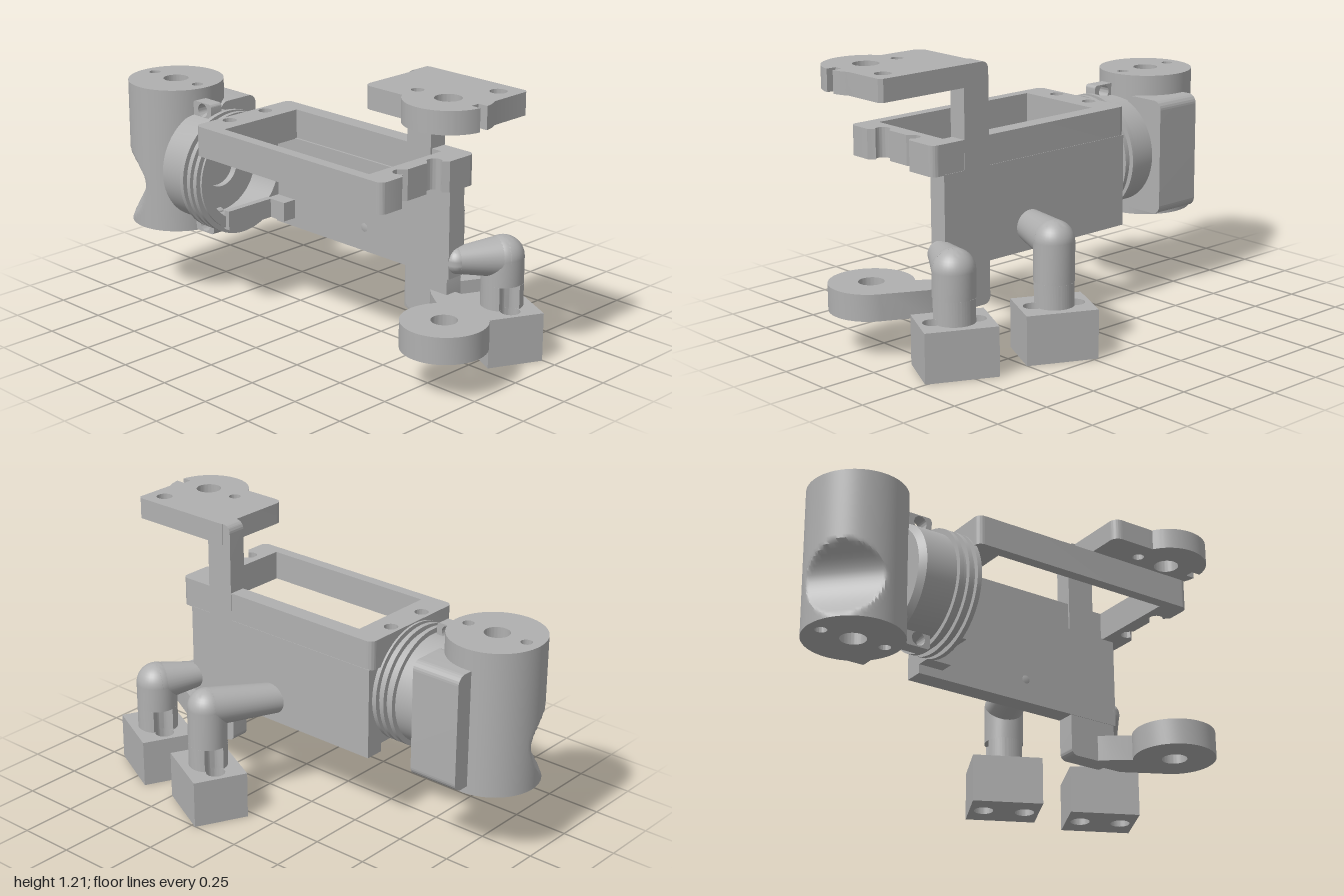
import * as THREE from 'three';
import { toCreasedNormals } from 'three/addons/utils/BufferGeometryUtils.js';

const grey = new THREE.MeshStandardMaterial({ color: 0xb0b0b0 });
grey.name = 'plain grey';

export function createModel() {
  const model = new THREE.Group();
  model.name = 'bracketAssembly';

  const add = (name, geo, parent = model) => {
    const mesh = new THREE.Mesh(toCreasedNormals(geo, 0.6), grey);
    mesh.name = name;
    parent.add(mesh);
    return mesh;
  };
  const hole = (shape, x, y, r) => shape.holes.push(new THREE.Path().absarc(x, y, r, 0, Math.PI * 2, true));
  const extrude = (shape, depth, steps = 1, curveSegments = 24) =>
    new THREE.ExtrudeGeometry(shape, { depth, steps, curveSegments, bevelEnabled: false });
  // Flat plate: shape is drawn in (x, -z) and raised from y0 to y1
  const plate = (shape, y0, y1, steps, segs) =>
    extrude(shape, y1 - y0, steps, segs).rotateX(-Math.PI / 2).translate(0, y0, 0);
  const roundRect = (x0, y0, x1, y1, r) => new THREE.Shape()
    .absarc(x1 - r, y1 - r, r, 0, Math.PI / 2)
    .absarc(x0 + r, y1 - r, r, Math.PI / 2, Math.PI)
    .absarc(x0 + r, y0 + r, r, Math.PI, Math.PI * 1.5)
    .absarc(x1 - r, y0 + r, r, Math.PI * 1.5, Math.PI * 2);
  const box = (x0, x1, y0, y1, z0, z1) => new THREE.BoxGeometry(x1 - x0, y1 - y0, z1 - z0)
    .translate((x0 + x1) / 2, (y0 + y1) / 2, (z0 + z1) / 2);

  // Upright pivot barrel, with a saddle-shaped cut low on its outer front side
  const cx = -0.79, cz = 0.235;
  const barrel = new THREE.Shape().absarc(cx, -cz, 0.21, 0, Math.PI * 2);
  hole(barrel, cx, -cz, 0.055);
  for (const dx of [-0.145, 0.145]) hole(barrel, cx + dx, -cz, 0.025);
  const barrelGeo = plate(barrel, 0.325, 0.97, 40, 48);
  const p = barrelGeo.attributes.position;
  for (let i = 0; i < p.count; i++) {
    const y = p.getY(i);
    if (y < 0.33 || y > 0.66) continue;
    const t = y > 0.53 ? (0.66 - y) / 0.13 : (y - 0.33) / 0.2;
    const limit = 0.21 - 0.078 * Math.sin(t * Math.PI / 2);
    const s = (cx - p.getX(i) + p.getZ(i) - cz) * Math.SQRT1_2;
    const cut = Math.max(0, s - limit) * Math.SQRT1_2;
    p.setX(i, p.getX(i) + cut);
    p.setZ(i, p.getZ(i) - cut);
  }
  add('pivotBarrel', barrelGeo);

  // Rounded backing block behind the barrel
  add('barrelBacking', extrude(roundRect(-0.15, 0.36, 0.055, 0.88, 0.04), 0.23)
    .rotateY(Math.PI / 2).translate(-0.82, 0, 0));

  // Hollow collar with three ribs, turned about the x axis
  const profile = [[0, -0.63], [0.22, -0.63], [0.243, -0.605], [0.243, -0.465]];
  for (const x of [-0.465, -0.42, -0.38]) {
    profile.push([0.243, x], [0.265, x], [0.265, x + 0.02], [0.243, x + 0.02]);
  }
  profile.push([0.243, -0.35], [0.2, -0.35], [0.2, -0.5], [0.09, -0.5], [0.09, -0.53], [0, -0.53]);
  add('ribbedCollar', new THREE.LatheGeometry(profile.map(q => new THREE.Vector2(...q)), 64)
    .rotateZ(-Math.PI / 2).translate(0, 0.625, 0.235));

  // Screw tabs above and below the collar
  for (const [y0, y1, hy] of [[0.33, 0.44, 0.366], [0.81, 0.922, 0.888]]) {
    const tab = roundRect(-0.595, y0, -0.478, y1, 0.015);
    hole(tab, -0.533, hy, 0.03);
    add('collarTab', extrude(tab, 0.06).translate(0, 0, 0.245));
  }

  // Open rectangular frame with a recessed right end
  const frame = new THREE.Shape()
    .moveTo(-0.34, -0.49).lineTo(0.685, -0.49)
    .absarc(0.685, -0.46, 0.03, -Math.PI / 2, 0)
    .lineTo(0.715, -0.375).lineTo(0.70, -0.36)
    .absarc(0.665, -0.335, 0.03, -0.5, -Math.PI, true)
    .lineTo(0.635, -0.32).lineTo(0.665, -0.29).lineTo(0.665, -0.18).lineTo(0.635, -0.15)
    .absarc(0.665, -0.135, 0.03, Math.PI, 0.5, true)
    .lineTo(0.715, -0.1).lineTo(0.715, -0.01)
    .absarc(0.685, 0.02, 0.03, 0, Math.PI / 2)
    .lineTo(-0.34, 0.05)
    .absarc(-0.34, 0.02, 0.03, Math.PI / 2, Math.PI)
    .lineTo(-0.37, -0.46)
    .absarc(-0.34, -0.46, 0.03, Math.PI, Math.PI * 1.5);
  frame.holes.push(new THREE.Path([[-0.24, -0.025], [0.6, -0.025], [0.6, -0.44], [-0.24, -0.44]]
    .map(q => new THREE.Vector2(...q))));
  for (const z of [0.13, 0.335]) hole(frame, -0.325, -z, 0.03);
  add('frame', plate(frame, 0.765, 0.895));

  // Back wall, inner ledge and posts
  add('backWall', box(-0.36, 0.66, 0.36, 0.768, -0.052, 0.035));
  add('innerLedge', box(-0.36, -0.245, 0.4, 0.485, 0.035, 0.1));
  add('innerFoot', box(-0.36, -0.33, 0.4, 0.485, 0.1, 0.345));
  add('upperPost', extrude(roundRect(0.42, 0.74, 0.55, 1.205, 0.035), 0.085).translate(0, 0, -0.052));
  add('lowerPost', extrude(roundRect(0.42, 0.175, 0.65, 0.4, 0.03), 0.085).translate(0, 0, -0.052));

  // Upper bearing plate: a lobe with a notch, blended into a square corner
  const mx = 0.82, mz = 0.235, full = Math.PI * 2;
  const upper = new THREE.Shape()
    .moveTo(0.46, 0.055).lineTo(0.46, -0.29)
    .absarc(0.5, -0.29, 0.04, Math.PI, Math.PI * 1.5)
    .lineTo(0.67, -0.33)
    .absarc(mx, -mz, 0.18, 3.707, full - 0.11)
    .lineTo(0.955, -mz - 0.02).lineTo(0.955, -mz + 0.02)
    .absarc(mx, -mz, 0.18, 0.11, 0.526)
    .lineTo(0.975, 0.04).lineTo(0.96, 0.055);
  hole(upper, mx, -mz, 0.055);
  hole(upper, 0.66, -mz, 0.026);
  hole(upper, 0.895, -0.03, 0.035);
  add('upperBearingPlate', plate(upper, 1.11, 1.205));

  // Lower bearing ring on a slanted arm
  const lower = new THREE.Shape()
    .moveTo(0.56, 0.02).lineTo(0.56, -0.035).lineTo(0.6, -0.07)
    .lineTo(0.68, -0.125)
    .absarc(mx, -mz, 0.18, 2.47, full + 1.2)
    .lineTo(0.72, 0.02);
  hole(lower, mx, -mz, 0.055);
  add('lowerBearingRing', plate(lower, 0.175, 0.29));

  // Tapered round bar between two points
  const bar = (name, a, b, ra, rb, parent) => {
    const dir = b.clone().sub(a), len = dir.length();
    const mesh = add(name, new THREE.CylinderGeometry(rb, ra, len, 32), parent);
    mesh.position.copy(a).addScaledVector(dir, 0.5);
    mesh.quaternion.setFromUnitVectors(new THREE.Vector3(0, 1, 0), dir.normalize());
  };
  const ball = (name, at, r, parent) =>
    add(name, new THREE.SphereGeometry(r, 32, 20), parent).position.copy(at);

  // Bent legs, each standing on a turned foot block with two screw holes
  const leg = (start, r0, elbow, r) => {
    const g = new THREE.Group();
    g.name = 'bentLeg';
    model.add(g);
    bar('legArm', start, elbow, r0, r, g);
    ball('legArmEnd', start, r0, g);
    ball('legElbow', elbow, r, g);
    bar('legColumn', new THREE.Vector3(elbow.x, 0.315, elbow.z), elbow, r, r, g);

    const base = new THREE.Group();
    base.name = 'legBase';
    base.position.set(elbow.x, 0, elbow.z);
    base.rotation.y = -0.456;
    g.add(base);
    // Column foot, scooped where the screws pass
    const d = 0.09, rb = 0.042, pts = [];
    for (let i = 0; i < 96; i++) {
      const a = i / 96 * full, k = rb * rb - (d * Math.sin(a)) ** 2;
      const rad = k > 0 ? Math.min(r, d * Math.abs(Math.cos(a)) - Math.sqrt(k)) : r;
      pts.push(new THREE.Vector2(rad * Math.cos(a), rad * Math.sin(a)));
    }
    add('columnFoot', plate(new THREE.Shape(pts), 0.205, 0.315), base);
    const block = new THREE.Shape([[-0.153, -0.122], [0.153, -0.122], [0.153, 0.122], [-0.153, 0.122]]
      .map(q => new THREE.Vector2(...q)));
    for (const x of [-d, d]) hole(block, x, 0, rb);
    add('footBlock', plate(block, 0, 0.212), base);
  };
  leg(new THREE.Vector3(0.18, 0.465, -0.03), 0.068, new THREE.Vector3(0.312, 0.485, -0.326), 0.086);
  leg(new THREE.Vector3(0.655, 0.43, -0.02), 0.056, new THREE.Vector3(0.745, 0.425, -0.205), 0.09);

  return model;
}
